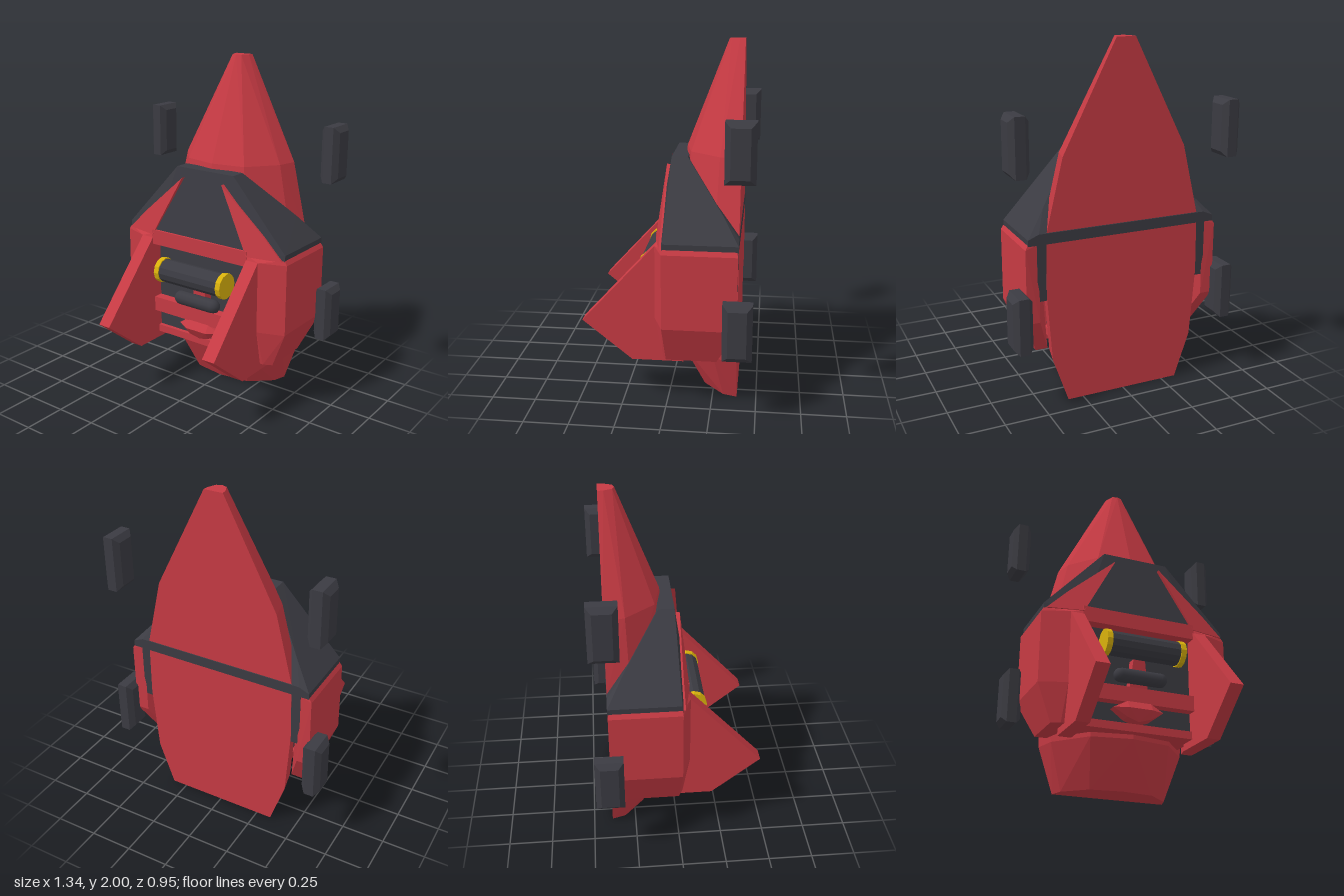
import * as THREE from 'three';
import { ConvexGeometry } from 'three/addons/geometries/ConvexGeometry.js';

const red = new THREE.MeshStandardMaterial({ color: 0xc63a43, name: 'red paint' });
const dark = new THREE.MeshStandardMaterial({ color: 0x3b3b42, name: 'dark grey' });
const yellow = new THREE.MeshStandardMaterial({ color: 0xd9b10c, name: 'yellow' });

export function createModel() {
  const model = new THREE.Group();
  model.name = 'armouredPod';

  const add = (name, geometry, material) => {
    const mesh = new THREE.Mesh(geometry, material);
    mesh.name = name;
    model.add(mesh);
    return mesh;
  };
  // Faceted solid spanned by a few corner points
  const solid = (name, points, material) =>
    add(name, new ConvexGeometry(points.map((p) => new THREE.Vector3(...p))), material);
  // Corner points repeated on the other side
  const mirrored = (points) => points.flatMap(([x, y, z]) => [[x, y, z], [-x, y, z]]);
  const box = (name, x0, x1, y0, y1, z0, z1, material) => {
    const g = new THREE.BoxGeometry(x1 - x0, y1 - y0, z1 - z0);
    g.translate((x0 + x1) / 2, (y0 + y1) / 2, (z0 + z1) / 2);
    return add(name, g, material);
  };

  // Hull: half-round faceted sections [height, half width, front z], flat at the back
  const back = -0.39;
  const sections = [
    [0, 0.34, -0.17], [0.26, 0.43, -0.025], [0.65, 0.46, -0.015],
    [1.0, 0.455, -0.025], [1.4, 0.36, -0.07], [2, 0.055, -0.3],
  ];
  solid('hull', mirrored(sections.flatMap(([y, w, front]) => {
    const d = front - back;
    return [[w, y, back], [0.93 * w, y, back + 0.36 * d], [0.55 * w, y, back + 0.88 * d], [0, y, front]];
  })), red);

  // Dark collar over the shoulders
  solid('collar', mirrored([
    [0.34, 0.94, 0.06], [0.56, 0.94, 0.014], [0.56, 0.975, 0.01],
    [0.56, 0.94, -0.392], [0.56, 0.975, -0.392], [0.5, 1.0, -0.392],
    [0.2, 1.37, 0], [0.2, 1.37, -0.09], [0.44, 1.11, -0.3],
  ]), dark);

  // Dark core behind the front opening
  box('core', -0.51, 0.51, 0.62, 0.95, -0.388, 0.0, dark);
  box('lowerCore', -0.345, 0.345, 0.33, 0.63, -0.2, 0.0, dark);

  // Red frame bars across the opening
  box('topBar', -0.345, 0.345, 0.88, 0.97, -0.05, 0.07, red);
  box('middleBar', -0.345, 0.345, 0.44, 0.53, -0.05, 0.06, red);
  box('sill', -0.36, 0.36, 0.285, 0.33, -0.2, 0.025, red);

  for (const s of [1, -1]) {
    const side = s > 0 ? 'left' : 'right';
    const flip = (points) => points.map(([x, y, z]) => [s * x, y, z]);

    // Side pod
    solid(side + 'Pod', flip([
      [0.345, 0.285, 0.025], [0.44, 0.285, 0.025], [0.49, 0.285, 0.0],
      [0.49, 0.285, -0.28], [0.42, 0.285, -0.28],
      [0.345, 0.5, 0.07], [0.42, 0.5, 0.07], [0.575, 0.5, 0.015],
      [0.52, 0.37, -0.32], [0.575, 0.5, -0.39], [0.5, 0.5, -0.39],
      [0.345, 0.92, 0.07], [0.42, 0.92, 0.07], [0.575, 0.92, 0.015], [0.575, 0.92, -0.39],
      [0.345, 0.945, 0.06], [0.56, 0.945, 0.012], [0.56, 0.945, -0.385], [0.5, 0.945, -0.385],
    ]), red);

    // Tapering brace lying on the collar
    const brace = [[0.34, 0.94], [0.55, 0.94], [0.43, 1.06], [0.25, 1.2], [0.14, 1.315]];
    solid(side + 'Brace', flip(brace.flatMap(([x, y]) => {
      const z = 0.07 - 0.2 * (x - 0.34) - 0.21 * (y - 0.95);
      return [[x, y, z], [x, y, z - 0.03]];
    })), red);

    // Pointed front prong
    const prong = [[-0.09, 0.245], [0.2, 0.245], [0.48, 0.47], [0.07, 0.92], [-0.02, 0.92]];
    solid(side + 'Prong', flip(prong.flatMap(([z, y]) => [[0.34, y, z], [0.42, y, z]])), red);

    // Wheels, bevelled on both side faces
    for (const [name, y] of [['UpperWheel', 1.485], ['LowerWheel', 0.525]]) {
      const points = [];
      for (const [dx, hy, hz] of [[0.055, 0.13, 0.05], [0.028, 0.16, 0.08]])
        for (const a of [-1, 1]) for (const b of [-1, 1]) for (const c of [-1, 1])
          points.push([0.617 + a * dx, y + b * hy, -0.395 + c * hz]);
      solid(side + name, flip(points), dark);
    }

    // Yellow end ring of the roller
    const ring = new THREE.CylinderGeometry(0.076, 0.076, 0.032, 12).toNonIndexed();
    ring.computeVertexNormals();
    ring.rotateZ(Math.PI / 2).translate(s * 0.224, 0.75, 0.11);
    add(side + 'RollerRing', ring, yellow);
  }

  // Roller
  const roller = new THREE.CylinderGeometry(0.07, 0.07, 0.46, 12).toNonIndexed();
  roller.computeVertexNormals();
  roller.rotateZ(Math.PI / 2).translate(0, 0.75, 0.11);
  add('roller', roller, dark);

  // Stem and rounded handle below the roller
  solid('stem', mirrored([
    [0.055, 0.53, 0], [0.055, 0.53, 0.05], [0.035, 0.7, 0], [0.035, 0.7, 0.06],
  ]), red);
  const handle = new THREE.CapsuleGeometry(0.042, 0.236, 4, 10);
  handle.rotateZ(Math.PI / 2).translate(0, 0.585, 0.075);
  add('handle', handle, dark);

  // Faceted red lip under the middle bar
  solid('lip', mirrored([
    [0.15, 0.405, 0], [0.15, 0.405, 0.05], [0.07, 0.445, 0], [0.07, 0.445, 0.06],
    [0.075, 0.35, 0], [0.07, 0.355, 0.06], [0, 0.325, 0], [0, 0.335, 0.05],
    [0.07, 0.4, 0.09],
  ]), red);

  return model;
}
